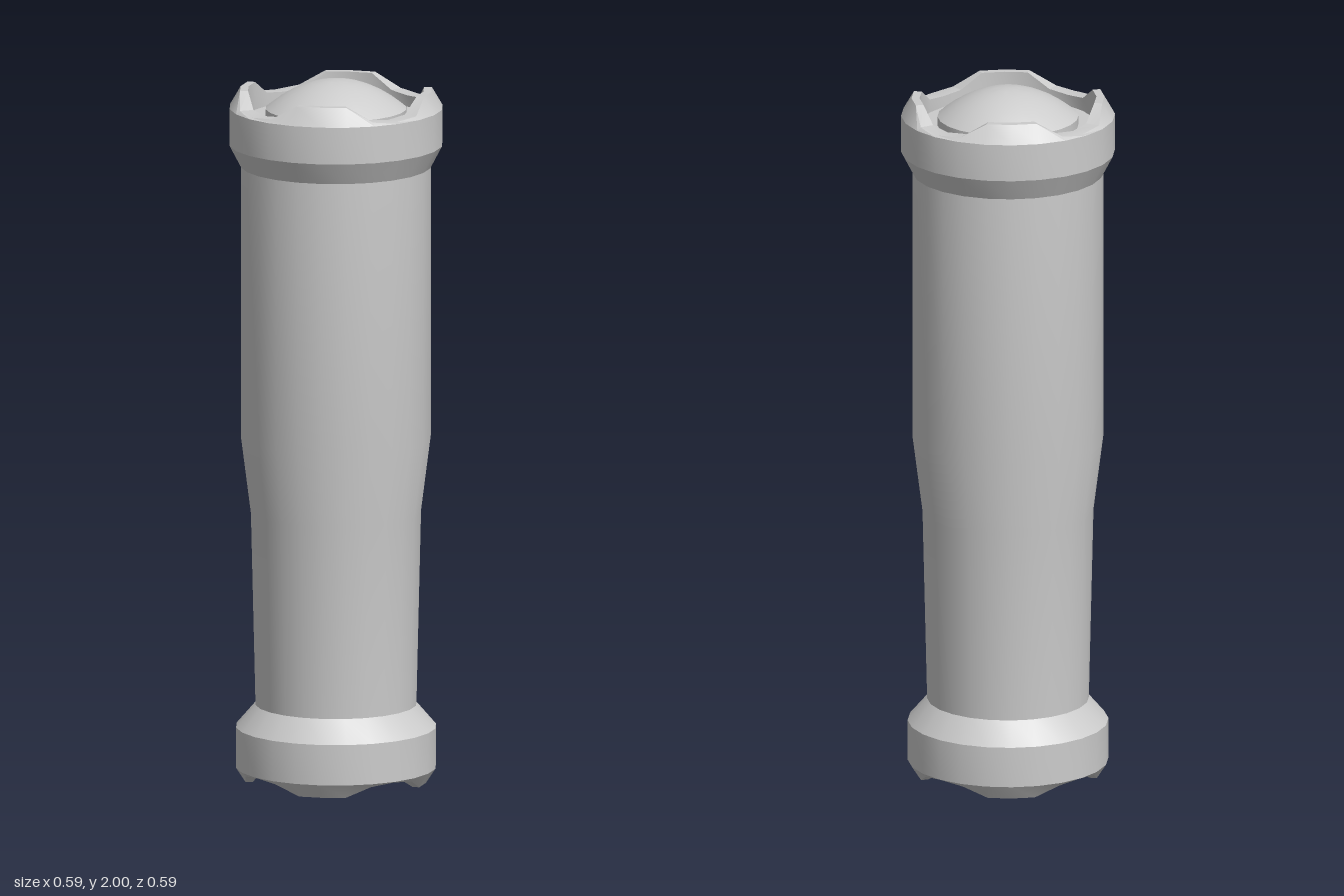
import * as THREE from 'three';
import { toCreasedNormals } from 'three/addons/utils/BufferGeometryUtils.js';

const SIDES = 24;
const material = new THREE.MeshStandardMaterial({ color: 0xcccccc });

function lathe(points) {
  return new THREE.LatheGeometry(points.map(([r, y]) => new THREE.Vector2(r, y)), SIDES);
}

function addMesh(parent, name, geometry) {
  const mesh = new THREE.Mesh(toCreasedNormals(geometry, 0.42), material);
  mesh.name = name;
  parent.add(mesh);
}

// One end of the handle, built with its tip at y = 0 and pointing up.
function createEnd(name, { neck, neckY, radius, shoulderY, rim, rimY, dip, dipY, inner, domeR }) {
  const end = new THREE.Group();
  end.name = name;
  const floorY = -0.105;
  const profile = [
    [neck, neckY], [radius, shoulderY], [radius, -0.077],
    [rim, rimY], [inner, rimY], [inner, floorY], [domeR - 0.01, floorY],
  ];
  const collar = lathe(profile);

  // Scallop the rim: four raised lobes with lowered notches at the diagonals
  const pos = collar.attributes.position;
  for (let i = 0; i <= SIDES; i++) {
    const step = i % 6;
    if (step < 2 || step > 4) continue;
    const a = (i / SIDES) * Math.PI * 2;
    const y = step === 3 ? dipY : dipY + 0.006;
    [[3, dip], [4, inner]].forEach(([ring, r]) =>
      pos.setXYZ(i * profile.length + ring, Math.sin(a) * r, y, Math.cos(a) * r));
  }
  addMesh(end, name + 'Collar', collar);

  // Shallow rounded button inside the scalloped rim
  const dome = [[domeR, floorY], [domeR, -0.08]];
  for (let k = 1; k <= 6; k++) {
    const t = 1 - k / 6;
    dome.push([domeR * t, -0.08 * t * t]);
  }
  addMesh(end, name + 'Dome', lathe(dome));
  return end;
}

export function createModel() {
  const group = new THREE.Group();
  group.name = 'handle';

  // Tapered grip
  addMesh(group, 'grip', lathe([
    [0.222, 0.24], [0.235, 0.79], [0.262, 1.0], [0.262, 1.77],
  ]));

  const top = createEnd('top', {
    neck: 0.26, neckY: -0.245, radius: 0.294, shoulderY: -0.18,
    rim: 0.265, rimY: -0.027, dip: 0.283, dipY: -0.074, inner: 0.243, domeR: 0.194,
  });
  top.position.y = 2;
  group.add(top);

  const bottom = createEnd('bottom', {
    neck: 0.22, neckY: -0.255, radius: 0.276, shoulderY: -0.19,
    rim: 0.25, rimY: -0.037, dip: 0.266, dipY: -0.073, inner: 0.229, domeR: 0.183,
  });
  bottom.rotation.x = Math.PI;
  group.add(bottom);

  return group;
}
